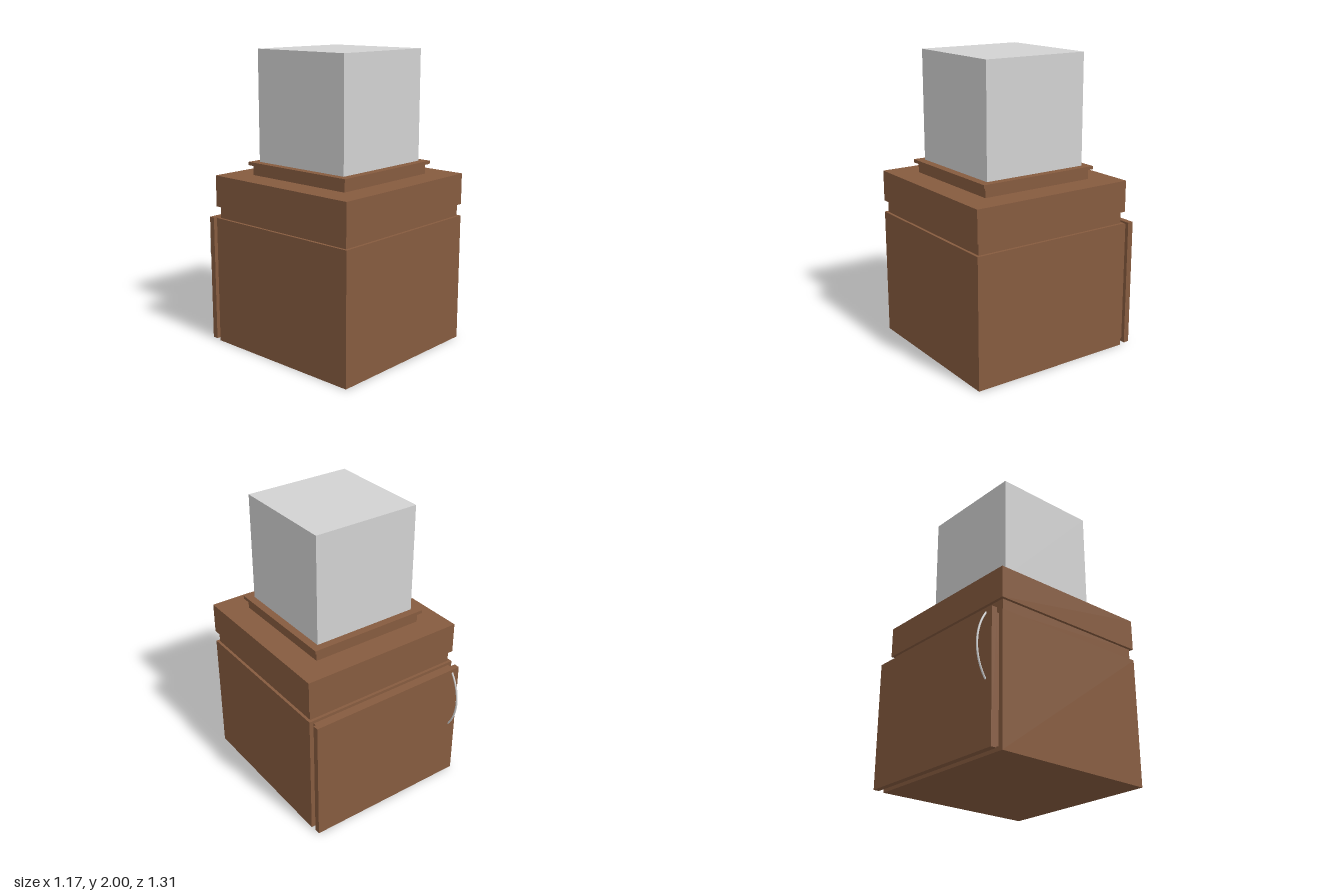
import * as THREE from 'three';

const wood = new THREE.MeshStandardMaterial({ name: 'brown wood', color: 0x865b3f });
const pale = new THREE.MeshStandardMaterial({ name: 'pale grey', color: 0xd2d2d2 });

export function createModel() {
  const group = new THREE.Group();
  group.name = 'cabinetPedestal';

  const add = (name, geometry, material) => {
    const mesh = new THREE.Mesh(geometry, material);
    mesh.name = name;
    group.add(mesh);
    return mesh;
  };

  // Box centred on x, given half width and y and z ranges
  const block = (name, halfX, y0, y1, z0, z1, material = wood) => {
    const mesh = add(name, new THREE.BoxGeometry(halfX * 2, y1 - y0, z1 - z0), material);
    mesh.position.set(0, (y0 + y1) / 2, (z0 + z1) / 2);
  };

  // Cabinet, from the floor up
  block('cabinetBody', 0.584, 0, 0.876, -0.508, 0.657);
  block('recessedNeck', 0.565, 0.876, 0.956, -0.488, 0.638);
  block('cabinetTop', 0.584, 0.956, 1.168, -0.508, 0.657);
  block('plinth', 0.405, 1.168, 1.235, -0.333, 0.48);
  block('plinthCap', 0.427, 1.235, 1.257, -0.355, 0.503);
  block('displayCube', 0.375, 1.257, 2, -0.301, 0.447, pale);

  // Back door with its set-in spacer
  block('doorSpacer', 0.553, 0.024, 0.856, -0.546, -0.508);
  block('door', 0.58, 0.004, 0.871, -0.586, -0.546);

  // Bowed handle, a circular arc standing off the door
  const half = 0.6, radius = 0.38;
  const points = [];
  for (let i = 0; i <= 16; i++) {
    const a = -half + (2 * half * i) / 16;
    points.push(new THREE.Vector3(-0.525, 0.632 + radius * Math.sin(a), -0.27 - radius * Math.cos(a)));
  }
  const path = new THREE.CatmullRomCurve3(points);
  add('doorHandle', new THREE.TubeGeometry(path, 32, 0.0065, 12), pale);

  return group;
}
